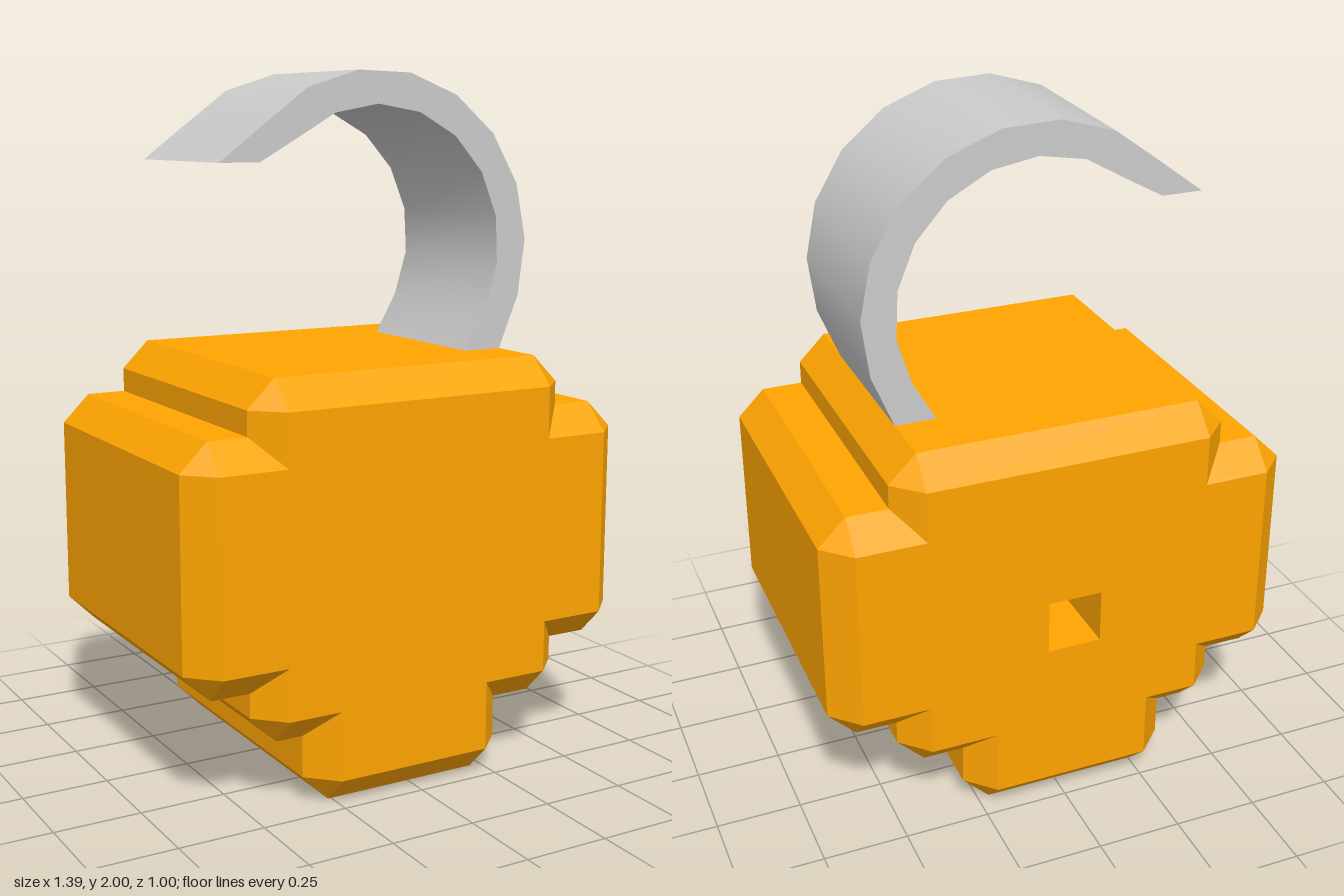
import * as THREE from 'three';
import { ConvexGeometry } from 'three/addons/geometries/ConvexGeometry.js';
import { toCreasedNormals } from 'three/addons/utils/BufferGeometryUtils.js';

const C = 0.08; // chamfer width
const D = 0.5; // half depth of the body
const HOLE = { x: -0.02, y: 0.61, size: 0.16, depth: 0.5 };

// Chamfered block between two corners, without its front and back caps
function chamferedBlock(x0, x1, y0, y1) {
  const h = new THREE.Vector3((x1 - x0) / 2, (y1 - y0) / 2, D);
  const points = [];
  for (const sx of [-1, 1]) for (const sy of [-1, 1]) for (const sz of [-1, 1]) {
    for (const axis of ['x', 'y', 'z']) {
      const p = h.clone().subScalar(C);
      p[axis] += C;
      p.set(p.x * sx + (x0 + x1) / 2, p.y * sy + (y0 + y1) / 2, p.z * sz);
      points.push(p);
    }
  }
  const hull = new ConvexGeometry(points);
  const pos = hull.attributes.position;
  const kept = [];
  for (let i = 0; i < pos.count; i += 3) {
    const z = [0, 1, 2].map((k) => pos.getZ(i + k));
    if (z.every((v) => v > D - 1e-4) || z.every((v) => v < -D + 1e-4)) continue;
    for (let k = 0; k < 3; k++) kept.push(pos.getX(i + k), pos.getY(i + k), z[k]);
  }
  const geo = new THREE.BufferGeometry();
  geo.setAttribute('position', new THREE.Float32BufferAttribute(kept, 3));
  geo.computeVertexNormals();
  return geo;
}

// Stepped outline shared by the front and back faces
function faceShape() {
  return new THREE.Shape([
    [-0.26, 0.08], [0.215, 0.08], [0.215, 0.28], [0.415, 0.28], [0.415, 0.43], [0.615, 0.43],
    [0.615, 0.97], [0.415, 0.97], [0.415, 1.12], [-0.42, 1.12], [-0.42, 0.97], [-0.615, 0.97],
    [-0.615, 0.43], [-0.42, 0.43], [-0.42, 0.28], [-0.26, 0.28],
  ].map(([x, y]) => new THREE.Vector2(x, y)));
}

// Hook profile: two offset arcs, each end cut level
function hookGeometry() {
  const arc = (r, start, step) => Array.from({ length: 9 }, (_, k) => {
    const a = THREE.MathUtils.degToRad(start + step * k);
    return new THREE.Vector2(r * Math.cos(a), 1.5 + r * Math.sin(a));
  });
  const outer = arc(0.5, -17, 19.1);
  const inner = arc(0.405, -26.5, 19.5).reverse();
  const shape = new THREE.Shape([
    new THREE.Vector2(0.415, 1.2), ...outer, new THREE.Vector2(-0.49, 1.75),
    new THREE.Vector2(-0.37, 1.75), ...inner, new THREE.Vector2(0.295, 1.2),
  ]);
  const geo = new THREE.ExtrudeGeometry(shape, { depth: 0.5, bevelEnabled: false });
  geo.translate(0, 0, -0.25);
  return toCreasedNormals(geo, THREE.MathUtils.degToRad(35));
}

export function createModel() {
  const group = new THREE.Group();
  const orange = new THREE.MeshStandardMaterial({ color: 0xffa500 });
  const orangeDouble = new THREE.MeshStandardMaterial({ color: 0xffa500, side: THREE.DoubleSide });
  const grey = new THREE.MeshStandardMaterial({ color: 0xcccccc });
  const add = (name, geo, mat) => {
    const mesh = new THREE.Mesh(geo, mat);
    mesh.name = name;
    group.add(mesh);
    return mesh;
  };

  // Body: three overlapping chamfered blocks
  add('wideBlock', chamferedBlock(-0.695, 0.695, 0.35, 1.05), orange);
  add('tallBlock', chamferedBlock(-0.5, 0.495, 0.2, 1.2), orange);
  add('baseBlock', chamferedBlock(-0.34, 0.295, 0, 0.5), orange);

  // Front face, and back face with a square opening
  add('frontFace', new THREE.ShapeGeometry(faceShape()), orange).position.z = D;
  const back = faceShape();
  const s = HOLE.size / 2;
  back.holes.push(new THREE.Path([[-s, -s], [-s, s], [s, s], [s, -s]]
    .map(([x, y]) => new THREE.Vector2(HOLE.x + x, HOLE.y + y))));
  add('backFace', new THREE.ShapeGeometry(back).scale(1, 1, 1), orangeDouble).position.z = -D;

  // Square socket sunk into the back: four walls and an end
  const socket = new THREE.Group();
  socket.name = 'backSocket';
  socket.position.set(HOLE.x, HOLE.y, -D);
  for (let i = 0; i < 4; i++) {
    const wall = new THREE.Mesh(new THREE.PlaneGeometry(HOLE.size, HOLE.depth), orangeDouble);
    wall.geometry.rotateX(-Math.PI / 2).translate(0, -s, HOLE.depth / 2).rotateZ(i * Math.PI / 2);
    wall.name = 'socketWall';
    socket.add(wall);
  }
  const end = new THREE.Mesh(new THREE.PlaneGeometry(HOLE.size, HOLE.size), orangeDouble);
  end.name = 'socketEnd';
  end.position.z = HOLE.depth;
  socket.add(end);
  group.add(socket);

  // Open curved hook on top
  add('hook', hookGeometry(), grey);
  return group;
}
